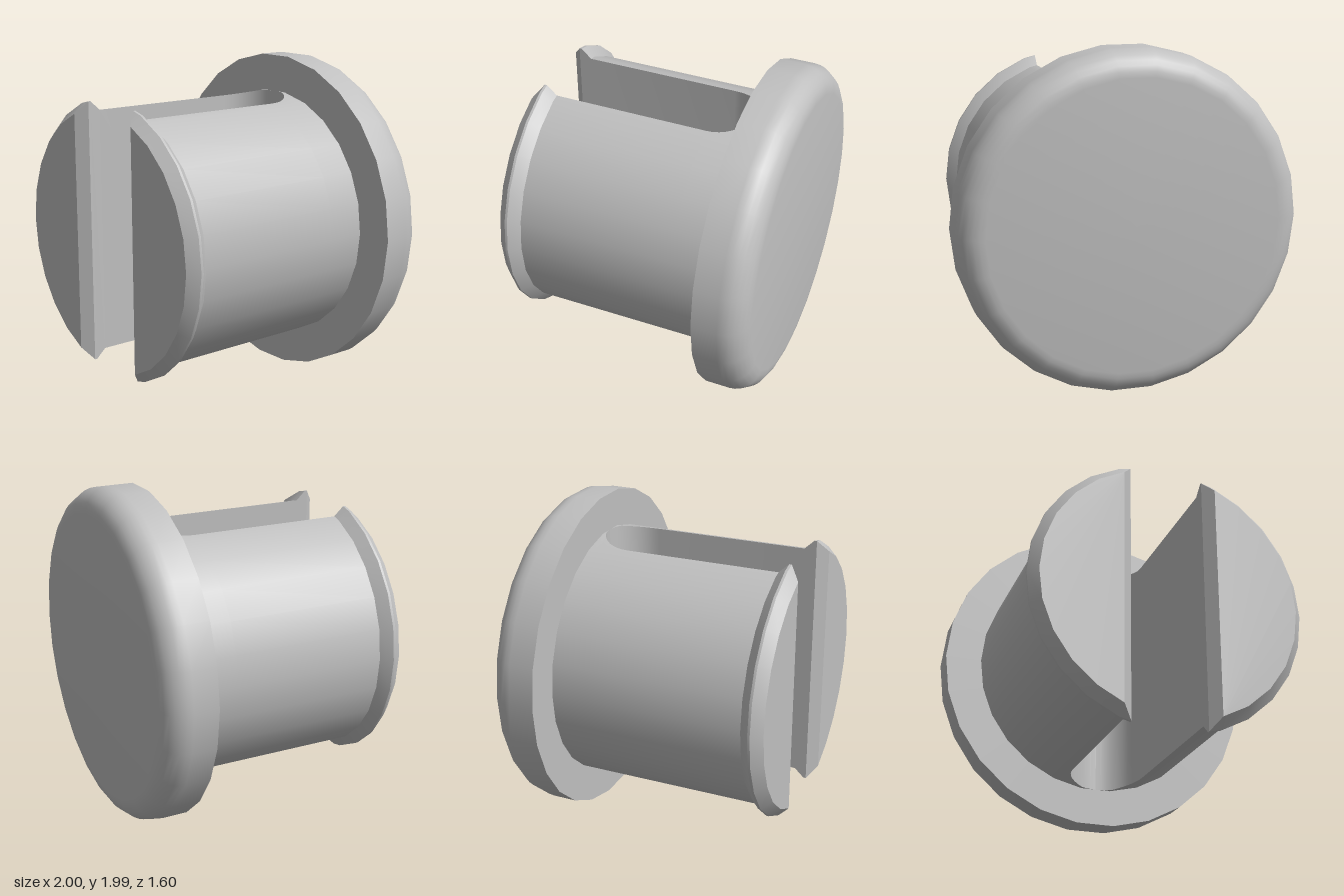
import * as THREE from 'three';
import { toCreasedNormals } from 'three/addons/utils/BufferGeometryUtils.js';

const SIDES = 26;
const STEP = (Math.PI * 2) / SIDES;
const CREASE = 0.6;
const SHAFT = 0.775, BARB = 0.83, SLOT = 0.225;

// Half of a round section, cut off by the slot wall at x = cut
function halfSection(radius, cut, z) {
  const corner = (k) => new THREE.Vector3(radius * Math.cos(k * STEP), radius * Math.sin(k * STEP), z);
  const points = [];
  for (let k = -7; k <= 7; k++) {
    const p = corner(k);
    if (p.x < cut) {
      // slide the point along the polygon to where it meets the wall
      let inner = k;
      while (corner(inner).x < cut) inner -= Math.sign(k);
      const a = corner(inner), b = corner(inner + Math.sign(k));
      p.lerpVectors(a, b, (a.x - cut) / (a.x - b.x));
    }
    points.push(p);
  }
  return points;
}

function legGeometry() {
  const rings = [];
  // rounded end of the slot
  for (let i = 0; i <= 10; i++) {
    const t = (i / 10) * Math.PI / 2;
    rings.push(halfSection(SHAFT, SLOT * Math.sin(t), -0.5 + SLOT * (1 - Math.cos(t))));
  }
  // straight shaft, barb and chamfered tip
  rings.push(halfSection(SHAFT, SLOT, 0.665));
  rings.push(halfSection(BARB, SLOT, 0.725));
  rings.push(halfSection(BARB, SLOT, 0.74));
  rings.push(halfSection(SHAFT, 0.285, 0.8));

  const positions = [];
  const triangle = (a, b, c) => {
    const area = b.clone().sub(a).cross(c.clone().sub(a)).length();
    if (area > 1e-7) for (const p of [a, b, c]) positions.push(p.x, p.y, p.z);
  };
  for (let j = 0; j < rings.length - 1; j++) {
    const low = rings[j], high = rings[j + 1], n = low.length;
    for (let i = 0; i < n; i++) {
      const next = (i + 1) % n;
      triangle(low[i], low[next], high[next]);
      triangle(low[i], high[next], high[i]);
    }
  }
  // flat tip
  const tip = rings[rings.length - 1];
  for (let i = 1; i < tip.length - 1; i++) triangle(tip[0], tip[i], tip[i + 1]);

  const geometry = new THREE.BufferGeometry();
  geometry.setAttribute('position', new THREE.Float32BufferAttribute(positions, 3));
  return toCreasedNormals(geometry, CREASE);
}

// Disc with a rounded back rim
function headGeometry() {
  const profile = [new THREE.Vector2(0, -0.8)];
  for (let i = 0; i <= 7; i++) {
    const t = (i / 7) * Math.PI / 2;
    profile.push(new THREE.Vector2(0.85 + 0.15 * Math.sin(t), -0.65 - 0.15 * Math.cos(t)));
  }
  profile.push(new THREE.Vector2(1, -0.5), new THREE.Vector2(0, -0.5));
  const geometry = new THREE.LatheGeometry(profile, SIDES, Math.PI / 2);
  geometry.rotateX(Math.PI / 2);
  return toCreasedNormals(geometry, CREASE);
}

export function createModel() {
  const plastic = new THREE.MeshStandardMaterial({ color: 0xc0c0c0 });
  plastic.name = 'grey plastic';

  const model = new THREE.Group();
  model.name = 'pushInPlug';

  const head = new THREE.Mesh(headGeometry(), plastic);
  head.name = 'head';

  const geometry = legGeometry();
  const leftLeg = new THREE.Mesh(geometry, plastic);
  leftLeg.name = 'leftLeg';
  const rightLeg = new THREE.Mesh(geometry, plastic);
  rightLeg.name = 'rightLeg';
  rightLeg.rotation.z = Math.PI;

  for (const part of [head, leftLeg, rightLeg]) {
    part.position.y = Math.cos(STEP / 2);
    model.add(part);
  }
  return model;
}
